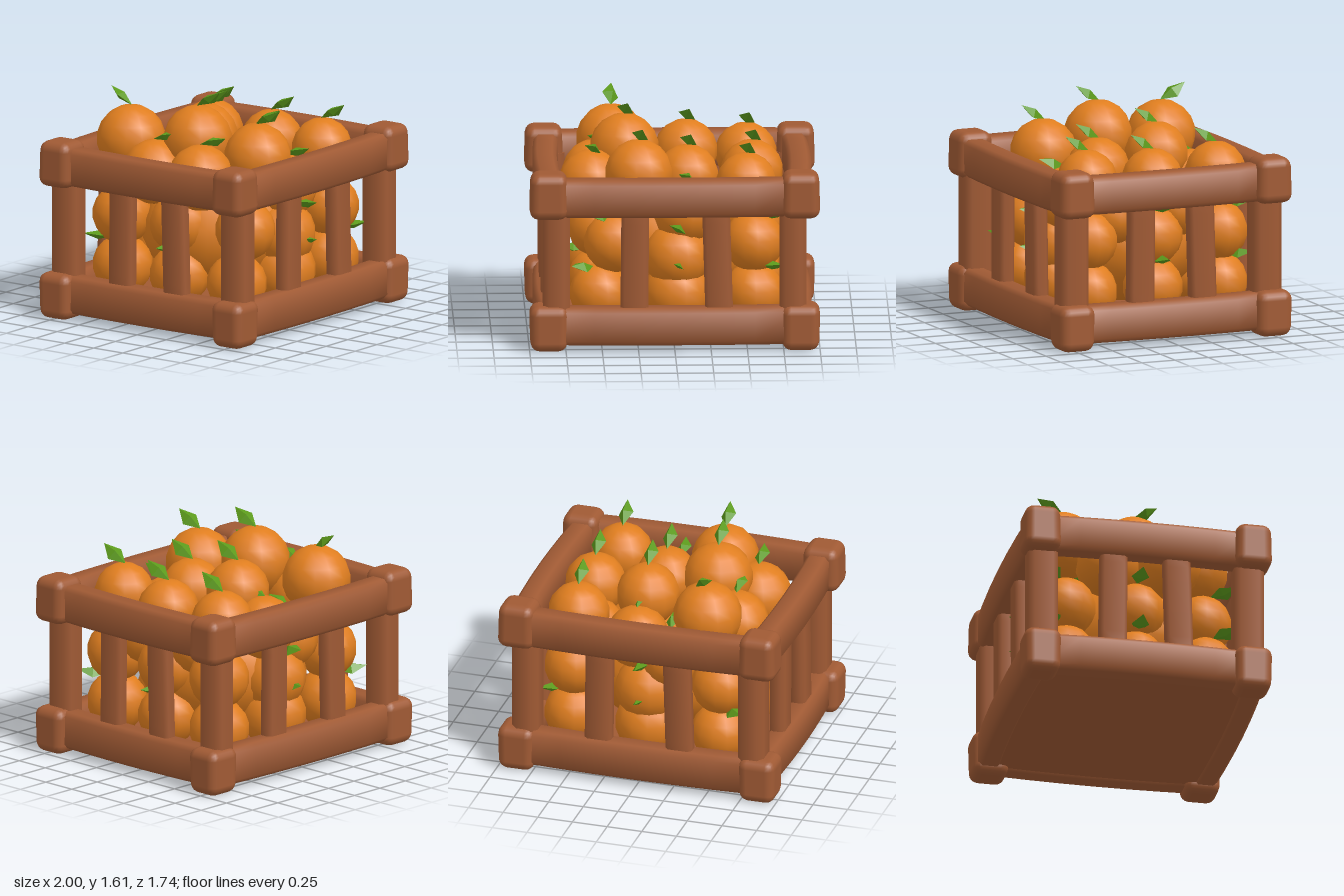
import * as THREE from 'three';
import { toCreasedNormals } from 'three/addons/utils/BufferGeometryUtils.js';
import { RoundedBoxGeometry } from 'three/addons/geometries/RoundedBoxGeometry.js';

const wood = new THREE.MeshStandardMaterial({ name: 'brown wood', color: 0xa05a34 });
const peel = new THREE.MeshStandardMaterial({ name: 'orange peel', color: 0xe07e1f });
const green = new THREE.MeshStandardMaterial({ name: 'leaf green', color: 0x5c9a1c });

function add(parent, name, geometry, material, x = 0, y = 0, z = 0) {
  const mesh = new THREE.Mesh(geometry, material);
  mesh.name = name;
  mesh.position.set(x, y, z);
  parent.add(mesh);
  return mesh;
}

// Beam along z with chamfered edges; its middle bows towards +x
function beam(w, h, length, bow = 0, c = 0.025) {
  const a = w / 2, b = h / 2;
  const shape = new THREE.Shape([
    [a, -b + c], [a, b - c], [a - c, b], [-a + c, b],
    [-a, b - c], [-a, -b + c], [-a + c, -b], [a - c, -b],
  ].map(([x, y]) => new THREE.Vector2(x, y)));
  const g = new THREE.ExtrudeGeometry(shape, { depth: length, steps: 6, bevelEnabled: false });
  g.translate(0, 0, -length / 2);
  const p = g.attributes.position;
  for (let i = 0; i < p.count; i++) {
    const t = p.getZ(i) / (length / 2);
    p.setX(i, p.getX(i) + bow * (1 - t * t));
  }
  return toCreasedNormals(g, 0.9);
}

// Corner block that narrows slightly towards its outer end
function cornerBlock(up) {
  const g = new RoundedBoxGeometry(0.265, 0.32, 0.26, 2, 0.065);
  const p = g.attributes.position;
  for (let i = 0; i < p.count; i++) {
    const s = 1 - 0.06 * Math.max(0, up * p.getY(i) / 0.16);
    p.setX(i, p.getX(i) * s);
    p.setZ(i, p.getZ(i) * s);
  }
  return g;
}

// Small thick diamond leaf, arched across its middle, pointing to +z
function leafGeometry() {
  const g = new THREE.OctahedronGeometry(1);
  g.scale(0.062, 0.03, 0.108);
  g.translate(0, 0, 0.085);
  const p = g.attributes.position;
  for (let i = 0; i < p.count; i++) p.setY(i, p.getY(i) - 0.2 * Math.abs(p.getX(i)));
  g.computeVertexNormals();
  return g;
}

function createCrate() {
  const crate = new THREE.Group();
  crate.name = 'crate';
  add(crate, 'floor', new THREE.BoxGeometry(1.72, 0.06, 1.52), wood, 0, 0.1, 0);

  // Corner posts with a block at each end
  const post = beam(0.185, 0.21, 0.9, 0, 0.04).rotateX(Math.PI / 2);
  const lower = cornerBlock(-1), upper = cornerBlock(1);
  for (const sx of [-1, 1]) for (const sz of [-1, 1]) {
    add(crate, 'post', post, wood, sx * 0.815, 0.63, sz * 0.725);
    add(crate, 'lowerCornerBlock', lower, wood, sx * 0.867, 0.17, sz * 0.742);
    add(crate, 'upperCornerBlock', upper, wood, sx * 0.867, 1.1, sz * 0.742);
  }

  // Four walls: two rails and two slats each
  const slat = beam(0.11, 0.19, 0.78).rotateX(Math.PI / 2);
  const walls = [
    ['leftWall', 0, 0.85, 1.42, [0.225, -0.23]],
    ['frontWall', -Math.PI / 2, 0.755, 1.66, [0.275, -0.295]],
    ['rightWall', Math.PI, 0.85, 1.42, [0.23, -0.225]],
    ['backWall', Math.PI / 2, 0.755, 1.66, [0.285, -0.285]],
  ];
  for (const [name, turn, dist, length, slats] of walls) {
    const wall = new THREE.Group();
    wall.name = name;
    wall.rotation.y = turn;
    const rail = beam(0.165, 0.26, length, 0.025, 0.03);
    add(wall, 'lowerRail', rail, wood, dist, 0.185, 0);
    add(wall, 'upperRail', rail, wood, dist, 1.085, 0);
    slats.forEach((z, i) => {
      add(wall, 'slat', slat, wood, dist + 0.005, 0.64, z).rotation.x = i ? 0.03 : -0.01;
    });
    crate.add(wall);
  }
  return crate;
}

function createFruit() {
  const pile = new THREE.Group();
  pile.name = 'fruitPile';
  const ball = new THREE.SphereGeometry(1, 13, 9);
  const leaf = leafGeometry();

  // lean moves the foot of the leaf from the top of the fruit towards its heading
  function addFruit(x, y, z, r, heading, tilt, lean) {
    const fruit = new THREE.Group();
    fruit.name = 'fruit';
    fruit.position.set(x, y, z);
    const body = add(fruit, 'fruitBody', ball, peel);
    body.scale.setScalar(r);
    body.rotation.y = pile.children.length * 1.7;
    const blade = add(fruit, 'leaf', leaf, green);
    blade.position.setFromSphericalCoords(r + 0.01, lean, heading);
    blade.rotation.set(-tilt, heading, -0.5 * Math.cos(heading), 'YXZ');
    pile.add(fruit);
  }

  // Heaped fruit: x, y, z, radius
  const heap = [
    [-0.41, 1.22, -0.49, 0.24],
    [-0.33, 1.27, 0.02, 0.24],
    [-0.24, 1.19, 0.47, 0.235],
    [0.1, 1.19, -0.23, 0.22],
    [0.1, 1.11, 0.21, 0.22],
    [0.55, 1.1, 0, 0.215],
    [0.5, 1.12, 0.47, 0.21],
    [0.52, 1.11, -0.49, 0.215],
    [-0.53, 1.05, -0.2, 0.225],
    [-0.56, 1.07, 0.22, 0.23],
    [0.1, 0.98, -0.48, 0.22],
    [0.08, 0.92, 0.46, 0.225],
    [0.49, 0.86, 0.27, 0.2],
    [0.48, 0.88, -0.22, 0.2],
    [-0.14, 0.86, -0.48, 0.21],
  ];
  heap.forEach(([x, y, z, r], i) => addFruit(x, y, z, r, i ? 0.12 : 3.1, y > 1.08 ? 0.55 : 0.3, 0.05));

  // Two lower layers around the edge, leaves pointing outwards
  for (const y of [0.35, 0.71]) for (const col of [-1, 0, 1]) for (const row of [-1, 0, 1]) {
    if (!col && !row) continue;
    const x = 0.02 + col * 0.53 + (col < 0 && y > 0.5 && row > 0 ? 0.1 : 0);
    const z = row * 0.49;
    addFruit(x, col ? y : y - 0.1 * (y > 0.5), z, col ? 0.21 : 0.23, Math.atan2(x, z), 0.15, 0.4);
  }

  // Hidden heart of the pile
  add(pile, 'pileCore', ball, peel, 0, 0.62, 0).scale.set(0.62, 0.45, 0.56);
  return pile;
}

export function createModel() {
  const model = new THREE.Group();
  model.name = 'fruitCrate';
  model.add(createCrate(), createFruit());
  return model;
}
